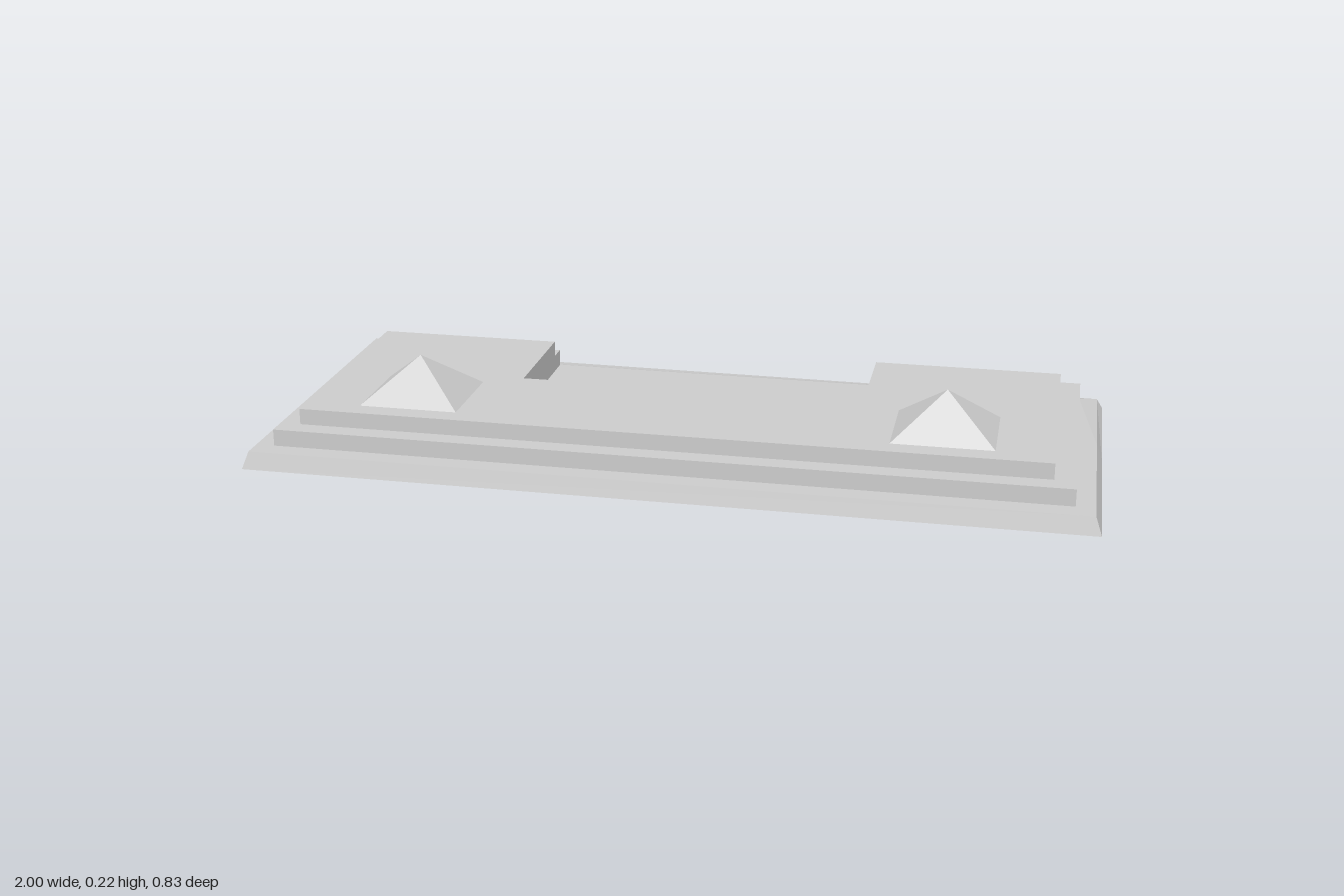
import * as THREE from 'three';

const Y1 = 0.042, Y2 = 0.083, Y3 = 0.122; // heights of the three levels
const NOTCH_X = 0.425, NOTCH_Z = -0.01;

const material = new THREE.MeshStandardMaterial({
  color: 0xcccccc, flatShading: true, side: THREE.DoubleSide,
});

function add(group, name, geometry) {
  const mesh = new THREE.Mesh(geometry, material);
  mesh.name = name;
  group.add(mesh);
  return mesh;
}

// Level surface from [x, z] outline points, with optional holes
function slab(points, y, holes = []) {
  const flat = (list) => list.map(([x, z]) => new THREE.Vector2(x, -z));
  const shape = new THREE.Shape(flat(points));
  holes.forEach((hole) => shape.holes.push(new THREE.Path(flat(hole))));
  return new THREE.ShapeGeometry(shape).rotateX(-Math.PI / 2).translate(0, y, 0);
}

// Closed band of walls between a lower and an upper ring of [x, y, z] points
function band(lower, upper) {
  const positions = [];
  lower.forEach((a, i) => {
    const j = (i + 1) % lower.length;
    const b = lower[j], c = upper[j], d = upper[i];
    positions.push(...a, ...b, ...c, ...a, ...c, ...d);
  });
  return triangles(positions);
}

function triangles(positions) {
  const geometry = new THREE.BufferGeometry();
  geometry.setAttribute('position', new THREE.Float32BufferAttribute(positions, 3));
  geometry.computeVertexNormals();
  return geometry;
}

// U-shaped outline of a tier, open towards the back
const tierOutline = (x, front, back) => [
  [-x, front], [x, front], [x, back], [NOTCH_X, back],
  [NOTCH_X, NOTCH_Z], [-NOTCH_X, NOTCH_Z], [-NOTCH_X, back], [-x, back],
];
const atHeight = (points, y) => points.map(([x, z]) => [x, y, z]);
const rectangle = (x0, x1, z0, z1) => [[x0, z1], [x1, z1], [x1, z0], [x0, z0]];

export function createModel() {
  const group = new THREE.Group();
  group.name = 'steppedPlatform';

  const tier2 = tierOutline(0.94, 0.356, -0.355);
  const tier3 = tierOutline(0.89, 0.309, -0.307);

  // Sloping skirt of the base, its rim dropping towards the back corners
  const rightCorner = [0.985, 0.027, -0.404], leftCorner = [-0.985, 0.034, -0.404];
  const skirtFoot = [[-1, 0.415], [1, 0.415], [1, -0.035], [1, -0.415], [-1, -0.415], [-1, -0.035]];
  const skirtRim = [
    [-0.985, Y1, 0.404], [0.985, Y1, 0.404], [0.985, Y1, -0.035],
    rightCorner, leftCorner, [-0.985, Y1, -0.035],
  ];
  add(group, 'baseSkirt', band(atHeight(skirtFoot, 0), skirtRim));

  // Level ledge around the front and sides of the base
  add(group, 'baseLedge', slab([
    [-0.985, 0.404], [0.985, 0.404], [0.985, -0.035], [0.94, -0.355],
    [0.94, 0.356], [-0.94, 0.356], [-0.94, -0.355], [-0.985, -0.035],
  ], Y1));

  // Falling ledge along the back and at the back corners
  const right = [0.94, Y1, -0.355], left = [-0.94, Y1, -0.355];
  add(group, 'backLedge', triangles([
    ...left, ...right, ...rightCorner,
    ...left, ...rightCorner, ...leftCorner,
    ...skirtRim[2], ...rightCorner, ...right,
    ...skirtRim[5], ...left, ...leftCorner,
  ]));

  add(group, 'recessFloor', slab(rectangle(-NOTCH_X, NOTCH_X, -0.355, NOTCH_Z), Y1));

  // Step walls and the narrow tread between them
  add(group, 'lowerStepWall', band(atHeight(tier2, Y1), atHeight(tier2, Y2)));
  add(group, 'upperStepWall', band(atHeight(tier3, Y2), atHeight(tier3, Y3)));
  add(group, 'stepTread', slab([
    [NOTCH_X, -0.355], [0.94, -0.355], [0.94, 0.356], [-0.94, 0.356], [-0.94, -0.355], [-NOTCH_X, -0.355],
    [-NOTCH_X, -0.307], [-0.89, -0.307], [-0.89, 0.309], [0.89, 0.309], [0.89, -0.307], [NOTCH_X, -0.307],
  ], Y2));

  // Deck, open beneath the two hollow pyramids
  const pyramidX = 0.636, pyramidZ = 0.148, halfWidth = 0.12, halfDepth = 0.111;
  const openings = [-1, 1].map((s) => rectangle(
    s * pyramidX - halfWidth, s * pyramidX + halfWidth, pyramidZ - halfDepth, pyramidZ + halfDepth));
  add(group, 'deck', slab(tier3, Y3, openings));

  for (const s of [-1, 1]) {
    const geometry = new THREE.ConeGeometry(Math.SQRT2, 0.1, 4, 1, true)
      .rotateY(Math.PI / 4).scale(halfWidth, 1, halfDepth);
    add(group, s > 0 ? 'leftPyramid' : 'rightPyramid', geometry)
      .position.set(s * pyramidX, Y3 + 0.05, pyramidZ);
  }
  return group;
}
